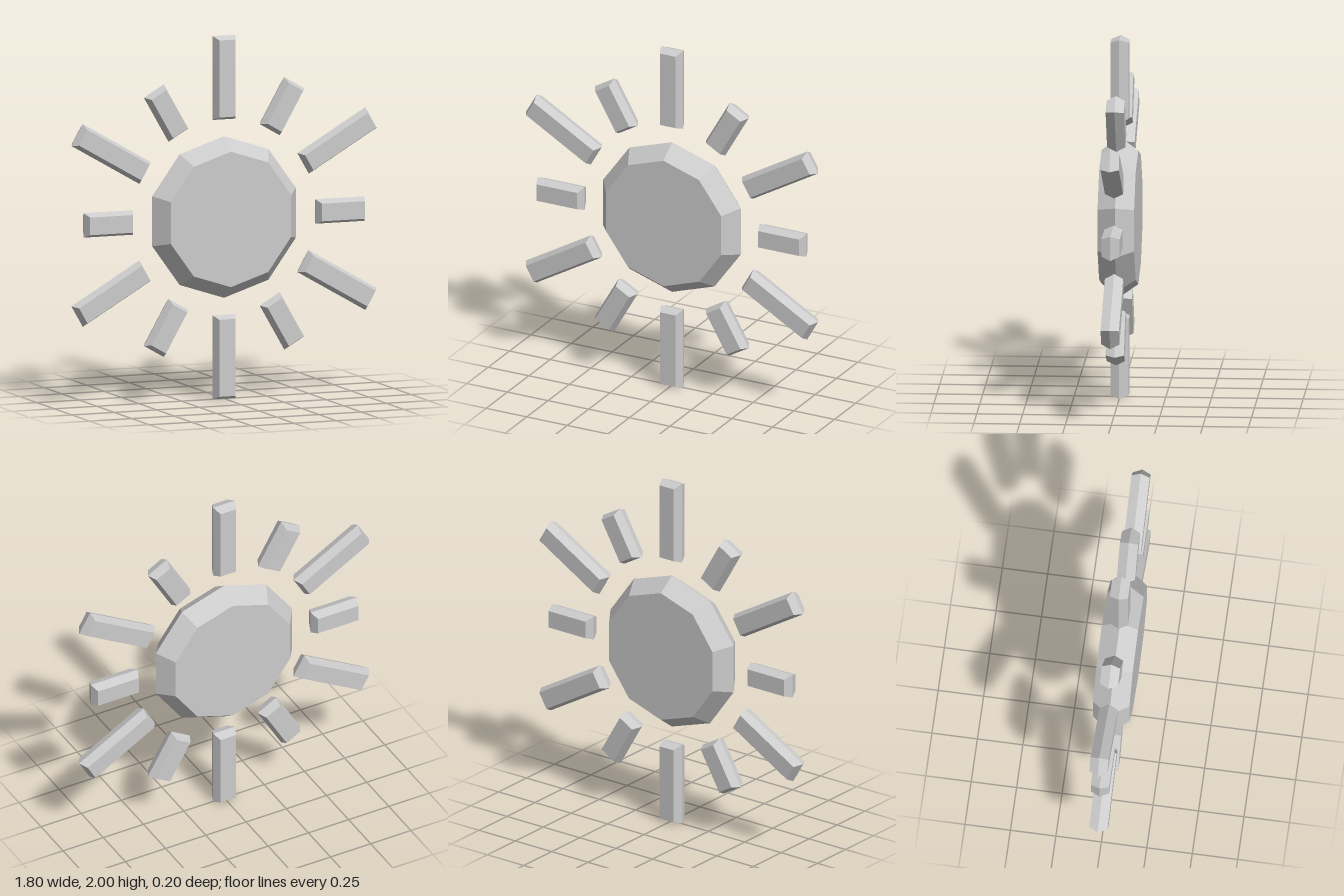
import * as THREE from 'three';

const material = new THREE.MeshStandardMaterial({ color: 0xcccccc, flatShading: true });

// Bar along y from radius r0 to r1, widest at its middle plane and chamfered to front and back
function rayGeometry(r0, r1) {
  const width = 0.135, depth = 0.1, inset = 0.019;
  const length = r1 - r0;
  const geo = new THREE.BoxGeometry(width, length, depth, 1, 1, 2);
  const p = geo.attributes.position;
  for (let i = 0; i < p.count; i++) {
    if (Math.abs(p.getZ(i)) < 0.01) continue;
    p.setX(i, p.getX(i) - Math.sign(p.getX(i)) * inset);
    p.setY(i, p.getY(i) - Math.sign(p.getY(i)) * inset);
  }
  geo.translate(0, (r0 + r1) / 2, 0);
  geo.computeVertexNormals();
  return geo;
}

export function createModel() {
  const model = new THREE.Group();
  model.name = 'sun';

  // Ten-sided disc, bevelled from its middle plane to both flat faces
  const profile = [[0, -0.1], [0.373, -0.1], [0.445, 0], [0.373, 0.1], [0, 0.1]]
    .map(([r, y]) => new THREE.Vector2(r, y));
  const discGeo = new THREE.LatheGeometry(profile, 10).rotateX(Math.PI / 2);
  const disc = new THREE.Mesh(discGeo, material);
  disc.name = 'disc';
  disc.position.y = 1;
  model.add(disc);

  // Twelve rays, long and short in turn
  const longRay = rayGeometry(0.538, 1);
  const shortRay = rayGeometry(0.538, 0.828);
  for (let i = 0; i < 12; i++) {
    const isLong = i % 2 === 0;
    const ray = new THREE.Mesh(isLong ? longRay : shortRay, material);
    ray.name = isLong ? 'longRay' : 'shortRay';
    ray.position.y = 1;
    ray.rotation.z = (i * Math.PI) / 6;
    model.add(ray);
  }
  return model;
}
